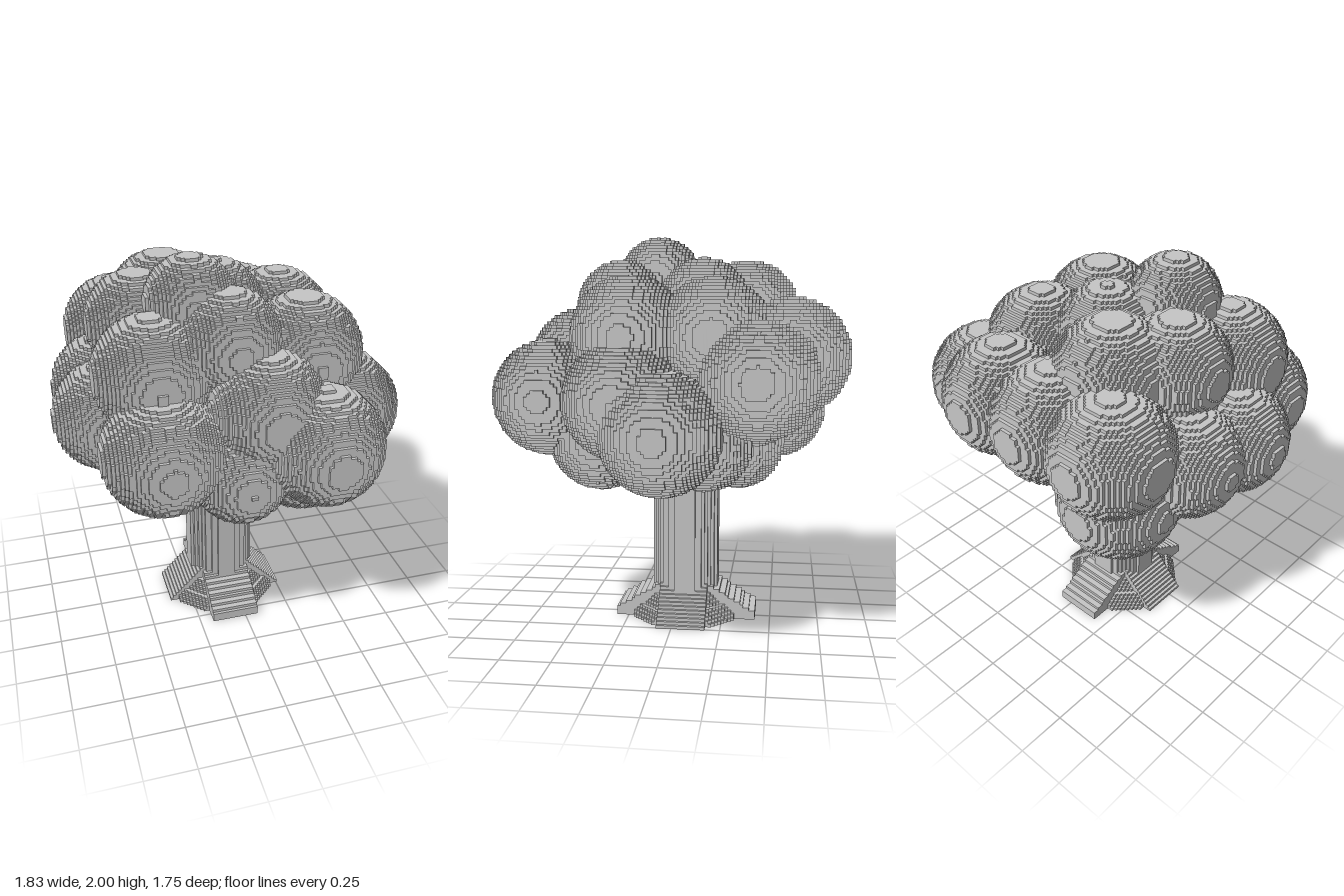
import * as THREE from 'three';

const STEP = 1 / 64;   // edge of one little cube
const N = 130;         // cells per axis; x and z are centred, y starts at 0
const SHIFT_X = 0.006; // lines the cells up with the trunk

// Turns a solid given by inside(x, y, z) into stepped cubes, with faces merged into strips
function cubeGeometry(inside) {
  const cells = new Uint8Array(N * N * N);
  const at = (c) => c.every((n) => n >= 0 && n < N) && cells[(c[0] * N + c[1]) * N + c[2]] === 1;
  const mid = (n) => (n + 0.5 - N / 2) * STEP;
  for (let i = 0; i < N; i++)
    for (let j = 0; j < N; j++)
      for (let k = 0; k < N; k++)
        if (inside(mid(i) + SHIFT_X, (j + 0.5) * STEP, mid(k))) cells[(i * N + j) * N + k] = 1;

  const pos = [];
  const put = (c) => pos.push((c[0] - N / 2) * STEP + SHIFT_X, c[1] * STEP, (c[2] - N / 2) * STEP);
  for (let d = 0; d < 3; d++) {
    const u = d === 1 ? 0 : 1;
    const v = 3 - d - u;
    for (const s of [-1, 1]) {
      const exposed = (c) => {
        if (!at(c)) return false;
        const n = c.slice();
        n[d] += s;
        return !at(n);
      };
      const corner = (a, b, w) => {
        const c = [0, 0, 0];
        c[d] = a; c[u] = b; c[v] = w;
        return c;
      };
      for (let a = 0; a < N; a++)
        for (let w = 0; w < N; w++)
          for (let b = 0; b < N; b++) {
            if (!exposed(corner(a, b, w))) continue;
            let e = b + 1;
            while (e < N && exposed(corner(a, e, w))) e++;
            const p = s > 0 ? a + 1 : a;
            const q = [corner(p, b, w), corner(p, e, w), corner(p, e, w + 1), corner(p, b, w + 1)];
            if ((s > 0) !== (d === 0)) q.reverse();
            [0, 1, 2, 0, 2, 3].forEach((n) => put(q[n]));
            b = e;
          }
    }
  }
  const g = new THREE.BufferGeometry();
  g.setAttribute('position', new THREE.Float32BufferAttribute(pos, 3));
  g.computeVertexNormals();
  return g;
}

// Leaf clumps: x, y, z, radius
const CLUMPS = [
  // crown
  [-0.23, 1.785, 0.115, 0.215], [-0.27, 1.605, -0.355, 0.277], [-0.445, 1.61, -0.13, 0.255],
  [-0.04, 1.65, -0.14, 0.235], [-0.09, 1.635, 0.285, 0.245], [-0.455, 1.5, 0.26, 0.28],
  [0.31, 1.5, 0.19, 0.288], [0.31, 1.5, -0.225, 0.28],
  // front
  [-0.457, 1.195, 0.475, 0.29], [0.283, 1.195, 0.595, 0.284],
  [-0.09, 1.04, 0.495, 0.232], [0.045, 1.36, 0.47, 0.272],
  // sides
  [0.625, 1.065, 0, 0.287], [0.5, 1.2, 0.2, 0.28], [0.495, 1.305, -0.445, 0.28],
  [-0.645, 1.22, 0.07, 0.268], [-0.615, 1.24, -0.24, 0.265],
  // back
  [-0.48, 1.4, -0.592, 0.287], [-0.12, 1.4, -0.592, 0.287], [0.205, 1.4, -0.592, 0.287],
  // underside
  [0.265, 1.0, 0.34, 0.262], [-0.44, 1.085, -0.5, 0.285],
  [-0.17, 0.92, -0.31, 0.25], [0.33, 0.98, -0.18, 0.23], [0.05, 1.15, -0.4, 0.22],
];

const inFoliage = (x, y, z) =>
  CLUMPS.some(([a, b, c, r]) => (x - a) ** 2 + (y - b) ** 2 + (z - c) ** 2 < r * r);

// Round trunk with four stepped roots and sloping webs between them
function inTrunk(x, y, z) {
  if (y > 1.3) return false;
  const dx = Math.abs(x + 0.0565);
  const dz = Math.abs(z + 0.05);
  if (Math.hypot(dx, dz) < 0.173) return true;
  if (y > 0.22) return false;
  const slope = (t, end, low) => (t > end ? 0 : low + (0.155 - low) * (end - t) / (end - 0.17));
  let h = 0;
  if (dx < 0.122) h = Math.max(h, slope(dz, 0.367, 0.04));
  if (dz < 0.122) h = Math.max(h, slope(dx, 0.308, 0.016));
  const diag = (dx + dz) * Math.SQRT1_2;
  if (dx < 0.27 && dz < 0.27) h = Math.max(h, slope(Math.max(diag, dx, dz), 0.29, 0.016));
  return y < h;
}

export function createModel() {
  const grey = new THREE.MeshStandardMaterial({ color: 0xc6c6c6 });
  grey.name = 'plain grey';
  const group = new THREE.Group();
  group.name = 'tree';
  for (const [name, inside] of [['foliage', inFoliage], ['trunk', inTrunk]]) {
    const mesh = new THREE.Mesh(cubeGeometry(inside), grey);
    mesh.name = name;
    group.add(mesh);
  }
  return group;
}
